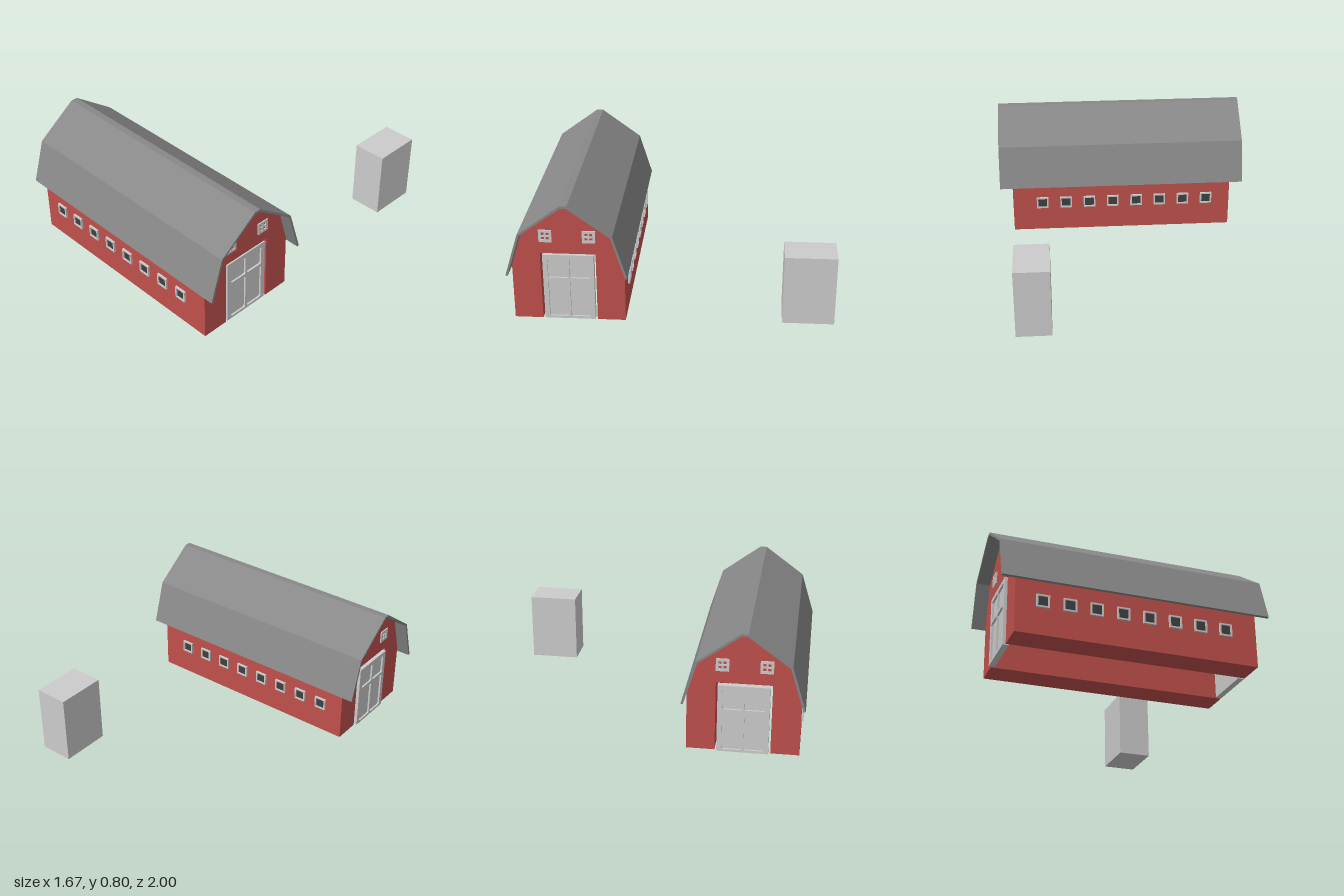
import * as THREE from 'three';

const mat = (color) => new THREE.MeshStandardMaterial({ color, flatShading: true });

// Polygon from half a profile [halfWidth, y], mirrored about the centre line
function mirrored(half) {
  const left = half.map(([w, y]) => [-w, y]).reverse();
  return new THREE.Shape([...half, ...left].map(([w, y]) => new THREE.Vector2(w, y)));
}

function rectPath(cx, cy, w, h, Type = THREE.Path) {
  const p = new Type();
  p.moveTo(cx - w / 2, cy - h / 2);
  p.lineTo(cx + w / 2, cy - h / 2);
  p.lineTo(cx + w / 2, cy + h / 2);
  p.lineTo(cx - w / 2, cy + h / 2);
  p.closePath();
  return p;
}

// Rectangle with rounded corners
function roundedPath(cx, cy, w, h, r) {
  const p = new THREE.Path();
  const x = w / 2 - r, y = h / 2 - r;
  p.absarc(cx + x, cy + y, r, 0, Math.PI / 2);
  p.absarc(cx - x, cy + y, r, Math.PI / 2, Math.PI);
  p.absarc(cx - x, cy - y, r, Math.PI, Math.PI * 1.5);
  p.absarc(cx + x, cy - y, r, Math.PI * 1.5, Math.PI * 2);
  p.closePath();
  return p;
}

const extrude = (shape, depth) =>
  new THREE.ExtrudeGeometry(shape, { depth, bevelEnabled: false, curveSegments: 3 });

export function createModel() {
  const model = new THREE.Group();
  const barn = new THREE.Group();
  barn.name = 'barn';
  barn.position.z = 0.63;
  model.add(barn);

  const red = mat(0xc0504c), roofGrey = mat(0x888888), grey = mat(0xcccccc), dark = mat(0x404040);

  const add = (parent, name, geometry, material, x = 0, y = 0, z = 0) => {
    const mesh = new THREE.Mesh(geometry, material);
    mesh.name = name;
    mesh.position.set(x, y, z);
    parent.add(mesh);
    return mesh;
  };

  // Walls: gambrel profile with a doorway passage running through
  const wallShape = mirrored([
    [0.17, 0.45], [0.17, 0], [0.345, 0], [0.345, 0.36], [0.274, 0.602], [0.018, 0.788],
  ]);
  add(barn, 'walls', extrude(wallShape, 1.5).rotateY(Math.PI / 2), red, -0.75);

  // Roof: thin folded shell overhanging every side
  const roofShape = mirrored([
    [0.017, 0.788], [0.273, 0.603], [0.357, 0.33], [0.37, 0.335], [0.285, 0.61], [0.022, 0.803],
  ]);
  add(barn, 'roof', extrude(roofShape, 1.67).rotateY(Math.PI / 2), roofGrey, -0.835);

  // Double doors: slab with a front layer cut by four rounded panels
  const doorFace = rectPath(0, 0.219, 0.315, 0.438, THREE.Shape);
  for (const side of [-1, 1]) {
    doorFace.holes.push(roundedPath(side * 0.067, 0.347, 0.12, 0.128, 0.01));
    doorFace.holes.push(roundedPath(side * 0.067, 0.139, 0.12, 0.246, 0.01));
  }
  const faceGeometry = extrude(doorFace, 0.012);
  const slabGeometry = new THREE.BoxGeometry(0.315, 0.438, 0.026);

  // Gable windows: four-pane frames
  const gableFrame = rectPath(0, 0, 0.08, 0.08, THREE.Shape);
  for (const u of [-1, 1]) for (const v of [-1, 1])
    gableFrame.holes.push(rectPath(u * 0.0145, v * 0.0145, 0.019, 0.019));
  const gableGeometry = extrude(gableFrame, 0.008);

  for (const end of [1, -1]) {
    const gable = new THREE.Group();
    gable.name = end > 0 ? 'leftGableEnd' : 'rightGableEnd';
    gable.rotation.y = end * Math.PI / 2;
    gable.position.x = end * 0.75;
    barn.add(gable);

    const door = new THREE.Group();
    door.name = 'door';
    door.position.z = end > 0 ? 0 : 0.015;
    add(door, 'doorSlab', slabGeometry, grey, 0, 0.219, -0.025);
    add(door, 'doorFrame', faceGeometry, grey, 0, 0, -0.012);
    gable.add(door);

    for (const side of [-1, 1])
      add(gable, 'gableWindow', gableGeometry, grey, side * 0.132, 0.567, 0);
  }

  // Rows of eight square windows on both long walls
  const frameShape = rectPath(0, 0, 0.08, 0.08, THREE.Shape);
  frameShape.holes.push(rectPath(0, 0, 0.06, 0.06));
  const frameGeometry = extrude(frameShape, 0.013);
  const paneGeometry = new THREE.BoxGeometry(0.06, 0.06, 0.006);
  for (const side of [1, -1]) {
    for (let i = 0; i < 8; i++) {
      const win = new THREE.Group();
      win.name = 'sideWindow';
      win.position.set(-0.587 + i * 0.1622, 0.21, side * 0.345);
      win.rotation.y = side > 0 ? 0 : Math.PI;
      add(win, 'windowFrame', frameGeometry, grey);
      add(win, 'windowPane', paneGeometry, dark, 0, 0, 0.002);
      barn.add(win);
    }
  }

  // Separate block standing behind the barn
  add(model, 'block', new THREE.BoxGeometry(0.22, 0.45, 0.32), grey, 0.61, 0.225, -0.84);

  return model;
}
